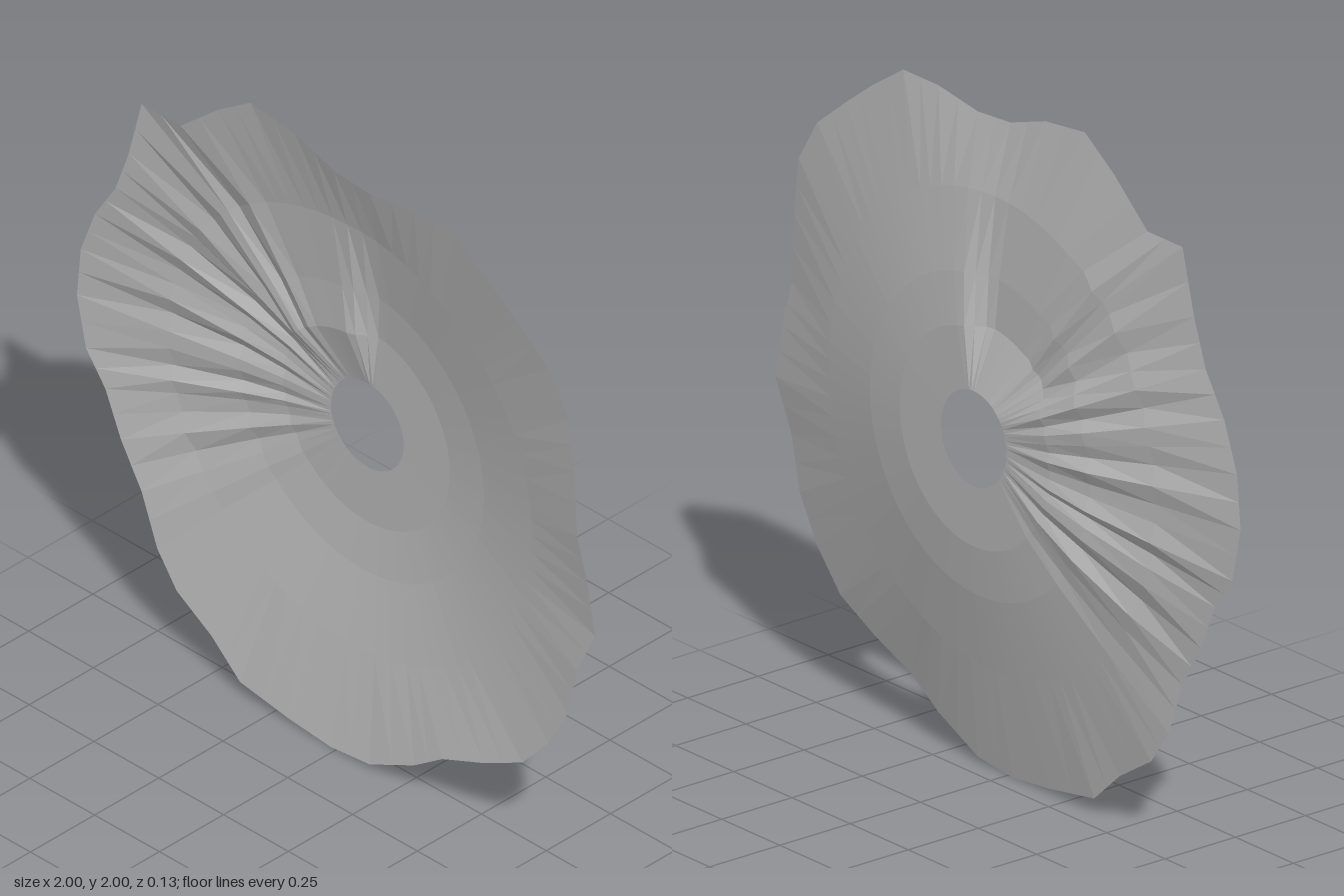
import * as THREE from 'three';

// Wavy rim, clockwise from the top left (x, y)
const RIM = [
  [-0.33, 2.0], [-0.16, 1.98], [-0.01, 1.93], [0.13, 1.92], [0.3, 1.945], [0.45, 1.945], [0.58, 1.86], [0.7, 1.77],
  [0.82, 1.675], [0.9, 1.545], [0.92, 1.38], [0.93, 1.17], [0.97, 1.03], [1.0, 0.87], [0.93, 0.72], [0.895, 0.56],
  [0.82, 0.425], [0.72, 0.31], [0.57, 0.235], [0.41, 0.17], [0.3, 0.095], [0.13, 0.015], [-0.02, 0.0], [-0.18, 0.015],
  [-0.37, 0.045], [-0.48, 0.145], [-0.615, 0.23], [-0.69, 0.335], [-0.75, 0.495], [-0.83, 0.63], [-0.89, 0.77], [-0.965, 0.87],
  [-1.0, 1.03], [-0.985, 1.19], [-0.93, 1.335], [-0.85, 1.46], [-0.8, 1.6], [-0.75, 1.79], [-0.6, 1.79], [-0.455, 1.915],
];
const CENTER_Y = 1.025;
const RADII = [0.14, 0.32, 0.47, 0.7];            // hole edge and inner rings
const DEPTHS = [-0.06, -0.058, -0.04, 0.004, 0.062]; // dish profile, hole to rim
const DENT = [0, 0.05, 0.035, 0.008, 0];          // raised upper-left sector
const CRINKLE = [0, 0.006, 0.012, 0.01, 0];       // radial folds on the left

// 1 inside the range from a to b, fading out over the given width
function sector(angle, a, b, fade) {
  const s = THREE.MathUtils.smoothstep;
  return s(angle, a - fade, a) * (1 - s(angle, b, b + fade));
}

function dishGeometry() {
  const columns = RIM.length * 2;
  const rings = DEPTHS.length;
  const positions = [];
  const indices = [];
  for (let i = 0; i < columns; i++) {
    // Every second column lies halfway along a rim edge
    const p = RIM[i >> 1];
    const q = RIM[((i + 1) >> 1) % RIM.length];
    const x = (p[0] + q[0]) / 2;
    const y = (p[1] + q[1]) / 2 - CENTER_Y;
    const rimRadius = Math.hypot(x, y);
    const angle = (Math.atan2(y, x) + Math.PI * 2) % (Math.PI * 2);
    const dent = sector(angle, 1.65, 2.4, 0.25);
    const fold = sector(angle, 2.2, 3.75, 0.2) * Math.sin(i * 2.3);
    for (let k = 0; k < rings; k++) {
      const r = k < RADII.length ? RADII[k] : rimRadius;
      positions.push(
        (x / rimRadius) * r,
        CENTER_Y + (y / rimRadius) * r,
        DEPTHS[k] + DENT[k] * dent + CRINKLE[k] * fold,
      );
    }
    // Faces to the next column, turned towards +z
    const next = ((i + 1) % columns) * rings;
    for (let k = 0; k < rings - 1; k++) {
      const a = i * rings + k;
      const b = next + k;
      indices.push(a, b, a + 1, b, b + 1, a + 1);
    }
  }
  // Clockwise columns: a, b, a + 1 runs counter-clockwise as seen from +z
  const geometry = new THREE.BufferGeometry();
  geometry.setAttribute('position', new THREE.Float32BufferAttribute(positions, 3));
  geometry.setIndex(indices);
  geometry.computeVertexNormals();
  return geometry;
}

export function createModel() {
  const model = new THREE.Group();
  model.name = 'wavyDish';
  const grey = new THREE.MeshStandardMaterial({ color: 0xb8b8b8, flatShading: true, side: THREE.DoubleSide });
  grey.name = 'grey';
  const dish = new THREE.Mesh(dishGeometry(), grey);
  dish.name = 'dishWithHole';
  model.add(dish);
  return model;
}
